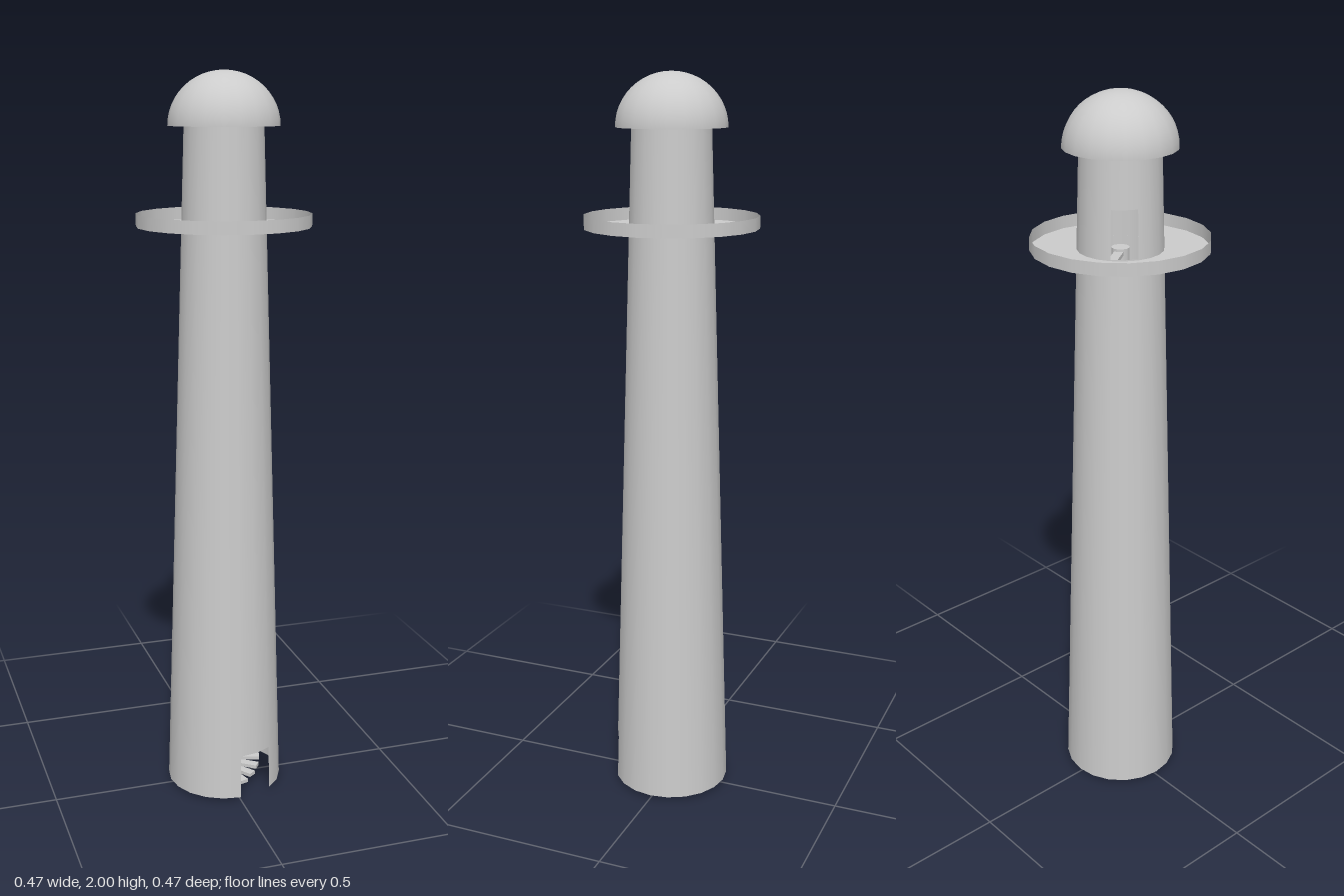
import * as THREE from 'three';

const SIDES = 20;
const SECTOR = (Math.PI * 2) / SIDES;
const BASE = 0.01, TOP = 1.86, FLOOR = 1.605, DOOR = 0.125;

// Radius of the tapering tower wall at height y
const wallRadius = (y) => THREE.MathUtils.mapLinear(y, BASE, TOP, 0.162, 0.105);

export function createModel() {
  const model = new THREE.Group();
  model.name = 'lighthouse';
  const solid = new THREE.MeshStandardMaterial({ color: 0xcccccc });
  const thin = new THREE.MeshStandardMaterial({ color: 0xcccccc, side: THREE.DoubleSide });

  function add(parent, name, geometry, material, y = 0) {
    const mesh = new THREE.Mesh(geometry, material);
    mesh.name = name;
    mesh.position.y = y;
    parent.add(mesh);
    return mesh;
  }

  // Tower wall in bands; a door leaves out two sectors, starting at the given one
  const tower = new THREE.Group();
  tower.name = 'tower';
  model.add(tower);
  const bands = [
    ['wallWithEntrance', BASE, BASE + DOOR, 0],
    ['wallShaft', BASE + DOOR, FLOOR, null],
    ['wallWithBalconyDoor', FLOOR, FLOOR + DOOR, 12],
    ['wallLantern', FLOOR + DOOR, TOP, null],
  ];
  for (const [name, y0, y1, door] of bands) {
    const count = door === null ? SIDES : SIDES - 2;
    const start = door === null ? 0 : (door + 2) * SECTOR;
    const wall = new THREE.CylinderGeometry(wallRadius(y1), wallRadius(y0), y1 - y0,
      count, 1, true, start, count * SECTOR);
    add(tower, name, wall, thin, (y0 + y1) / 2);
  }

  // Balcony: flat ring floor and thin upright rim
  const balcony = new THREE.Group();
  balcony.name = 'balcony';
  model.add(balcony);
  const floor = new THREE.RingGeometry(wallRadius(FLOOR), 0.233, SIDES, 1).rotateX(-Math.PI / 2);
  add(balcony, 'balconyFloor', floor, thin, 1.602);
  add(balcony, 'balconyRim', new THREE.CylinderGeometry(0.233, 0.233, 0.034, SIDES, 1, true), thin, 1.619);

  // Domed roof with closed underside
  const dome = new THREE.SphereGeometry(0.147, SIDES, 12, 0, Math.PI * 2, 0, Math.PI / 2);
  dome.scale(1, (2 - TOP) / 0.147, 1);
  add(model, 'domeRoof', dome, solid, TOP);
  add(model, 'domeUnderside', new THREE.CircleGeometry(0.147, SIDES).rotateX(Math.PI / 2), solid, TOP);

  // Spiral stair from the entrance up to the balcony door
  const stair = new THREE.Group();
  stair.name = 'spiralStair';
  model.add(stair);
  add(stair, 'stairPole', new THREE.CylinderGeometry(0.024, 0.024, FLOOR, 12), solid, FLOOR / 2);
  const steps = 132, rise = (FLOOR - 0.02) / steps;
  const tread = new THREE.BoxGeometry(0.024, 0.01, 0.085).translate(0, 0, 0.0605);
  for (let i = 0; i < steps; i++) {
    const step = add(stair, 'step', tread, solid, 0.02 + i * rise);
    step.rotation.y = (i + 1) * SECTOR;
  }
  return model;
}
